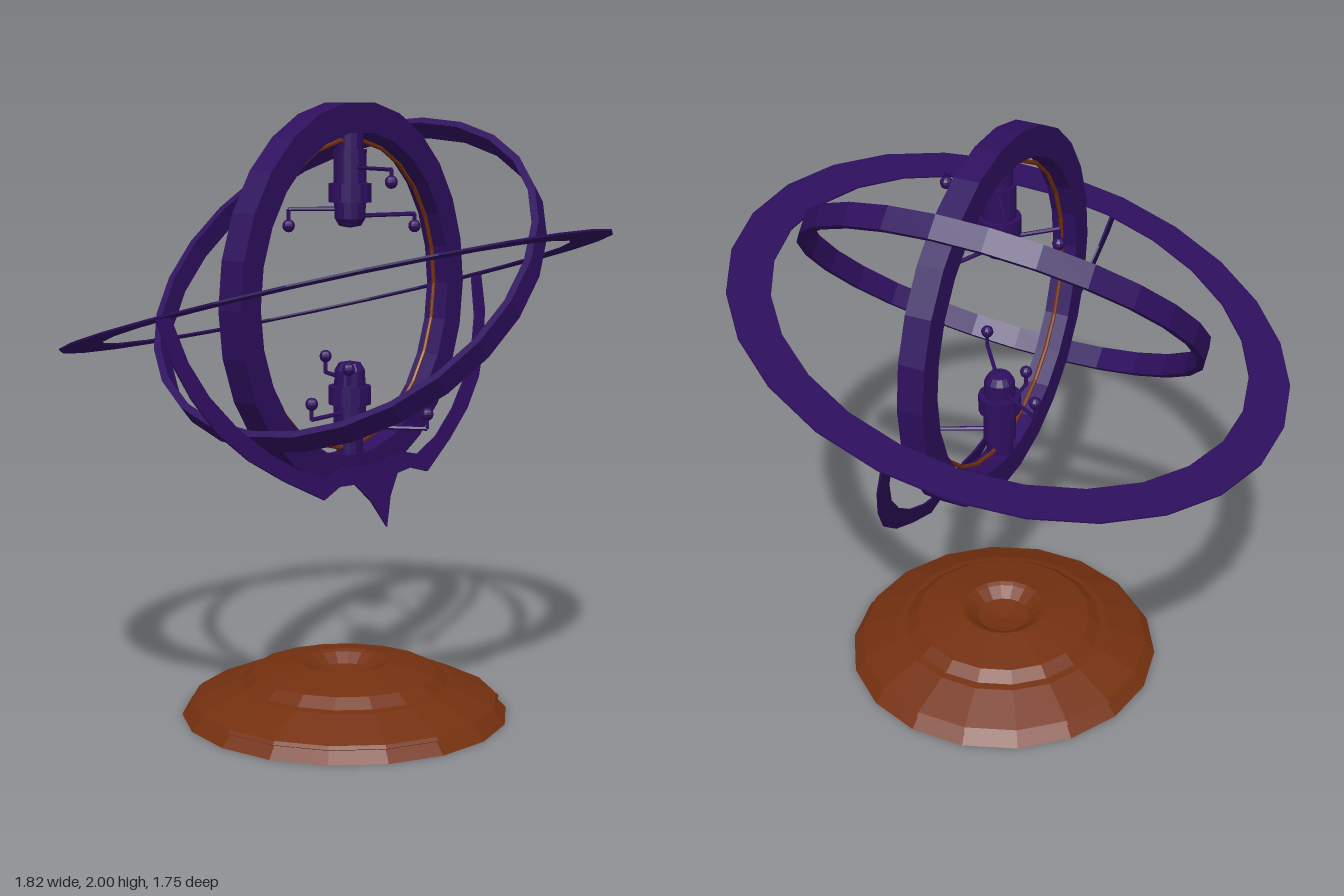
import * as THREE from 'three';

const purple = new THREE.MeshStandardMaterial({ color: 0x2e0f5e, flatShading: true });
const brown = new THREE.MeshStandardMaterial({ color: 0x74300f, flatShading: true });
const TILT = -Math.PI / 12;
const HUB_Y = 1.387, HUB_Z = 0.053;

const V = (x, y) => new THREE.Vector2(x, y);
const lathe = (pts, n, start = 0) => new THREE.LatheGeometry(pts.map(p => V(...p)), n, start);

function add(parent, name, geometry, material = purple) {
  const mesh = new THREE.Mesh(geometry, material);
  mesh.name = name;
  parent.add(mesh);
  return mesh;
}

// Ring of rectangular section lying in the xz plane
function ring(inner, outer, height, n = 26) {
  const h = height / 2;
  return lathe([[inner, -h], [outer, -h], [outer, h], [inner, h], [inner, -h]], n, Math.PI / n);
}

// Straight rod between two points
function rod(parent, name, a, b, r) {
  const dir = b.clone().sub(a);
  const mesh = add(parent, name, new THREE.CylinderGeometry(r, r, dir.length(), 6));
  mesh.position.copy(a).add(b).multiplyScalar(0.5);
  mesh.quaternion.setFromUnitVectors(new THREE.Vector3(0, 1, 0), dir.normalize());
}

// Flat bow that hangs below the tilted ring, ending in a point
function cradleGeometry() {
  const outer = [[0.889, 0], [0.865, 0.126], [0.81, 0.247], [0.73, 0.362], [0.614, 0.461], [0.467, 0.549],
    [0.293, 0.636], [0.203, 0.609], [0.12, 0.615], [0.055, 0.68]];
  const inner = [[0.826, 0], [0.79, 0.143], [0.73, 0.252], [0.636, 0.357], [0.52, 0.45], [0.388, 0.527],
    [0.256, 0.571], [0.165, 0.549]];
  const right = pts => pts.map(([x, d]) => V(x, -d));
  const left = pts => pts.map(([x, d]) => V(-x, -d));
  const outline = [
    ...left(outer), V(0, -0.773), ...right(outer).reverse(),
    ...right(inner), V(0, -0.57), ...left(inner).reverse(),
  ];
  const geo = new THREE.ExtrudeGeometry(new THREE.Shape(outline), { depth: 0.006, bevelEnabled: false });
  return geo.translate(0, 0, -0.003);
}

export function createModel() {
  const model = new THREE.Group();
  model.name = 'armillarySphere';

  // Stepped base with a dished top
  const base = add(model, 'base', lathe([
    [0, 0], [0.54, 0], [0.505, 0.035], [0.515, 0.04], [0.505, 0.05], [0.37, 0.108], [0.345, 0.112],
    [0.305, 0.142], [0.145, 0.172], [0.13, 0.165], [0.09, 0.135], [0, 0.12],
  ], 18), brown);
  base.position.set(-0.03, 0, 0.056);

  // Tilted flat ring with its cradle
  const tilted = new THREE.Group();
  tilted.name = 'tiltedAssembly';
  tilted.position.y = HUB_Y;
  tilted.rotation.x = TILT;
  model.add(tilted);
  add(tilted, 'horizonRing', ring(0.775, 0.912, 0.006));
  add(tilted, 'cradle', cradleGeometry());

  // Upright ring and its thin inner lining
  const upright = add(model, 'uprightRing', ring(0.52, 0.617, 0.085));
  upright.position.set(0, HUB_Y, HUB_Z);
  upright.rotation.x = Math.PI / 2;
  const lining = add(model, 'innerHoop', new THREE.TorusGeometry(0.496, 0.007, 6, 26), brown);
  lining.position.set(0, HUB_Y, HUB_Z);

  // Narrow band leaning at 45 degrees
  const band = add(model, 'diagonalBand', ring(0.65, 0.674, 0.075));
  band.position.set(-0.03, 1.446, HUB_Z);
  band.rotation.z = Math.PI / 4;

  // Upper and lower spindles, mirrored about the centre
  const profile = [[0, -0.6], [0.02, -0.59], [0.044, -0.53], [0.044, -0.465], [0.054, -0.465], [0.054, -0.357],
    [0.07, -0.357], [0.07, -0.297], [0.052, -0.297], [0.05, -0.245], [0.036, -0.222], [0, -0.215]];
  for (const [name, angle] of [['lowerSpindle', 0], ['upperSpindle', Math.PI]]) {
    const spindle = add(model, name, lathe(profile, 14));
    spindle.position.set(0, HUB_Y, HUB_Z);
    spindle.rotation.x = angle;
  }

  // Cranked arms with a ball at each end: x, z, arm height, ball height
  const arms = [
    [-0.108, 0.286, 1.795, 1.757], [0.174, -0.048, 1.825, 1.768],
    [-0.137, -0.09, 1.663, 1.61], [0.225, 0.152, 1.64, 1.6],
    [-0.208, 0.053, 1.005, 1.055], [0.11, 0.283, 0.955, 1.003],
    [0.102, -0.119, 1.108, 1.162], [-0.206, 0.195, 1.125, 1.178],
  ];
  for (const [x, z, armY, ballY] of arms) {
    const arm = new THREE.Group();
    arm.name = 'orbitArm';
    model.add(arm);
    const elbow = new THREE.Vector3(x, armY, z);
    const end = new THREE.Vector3(x, ballY, z);
    rod(arm, 'armRod', new THREE.Vector3(0, armY, HUB_Z), elbow, 0.007);
    rod(arm, 'armCrank', elbow, end, 0.007);
    add(arm, 'armBall', new THREE.SphereGeometry(0.021, 10, 8)).position.copy(end);
  }

  return model;
}
